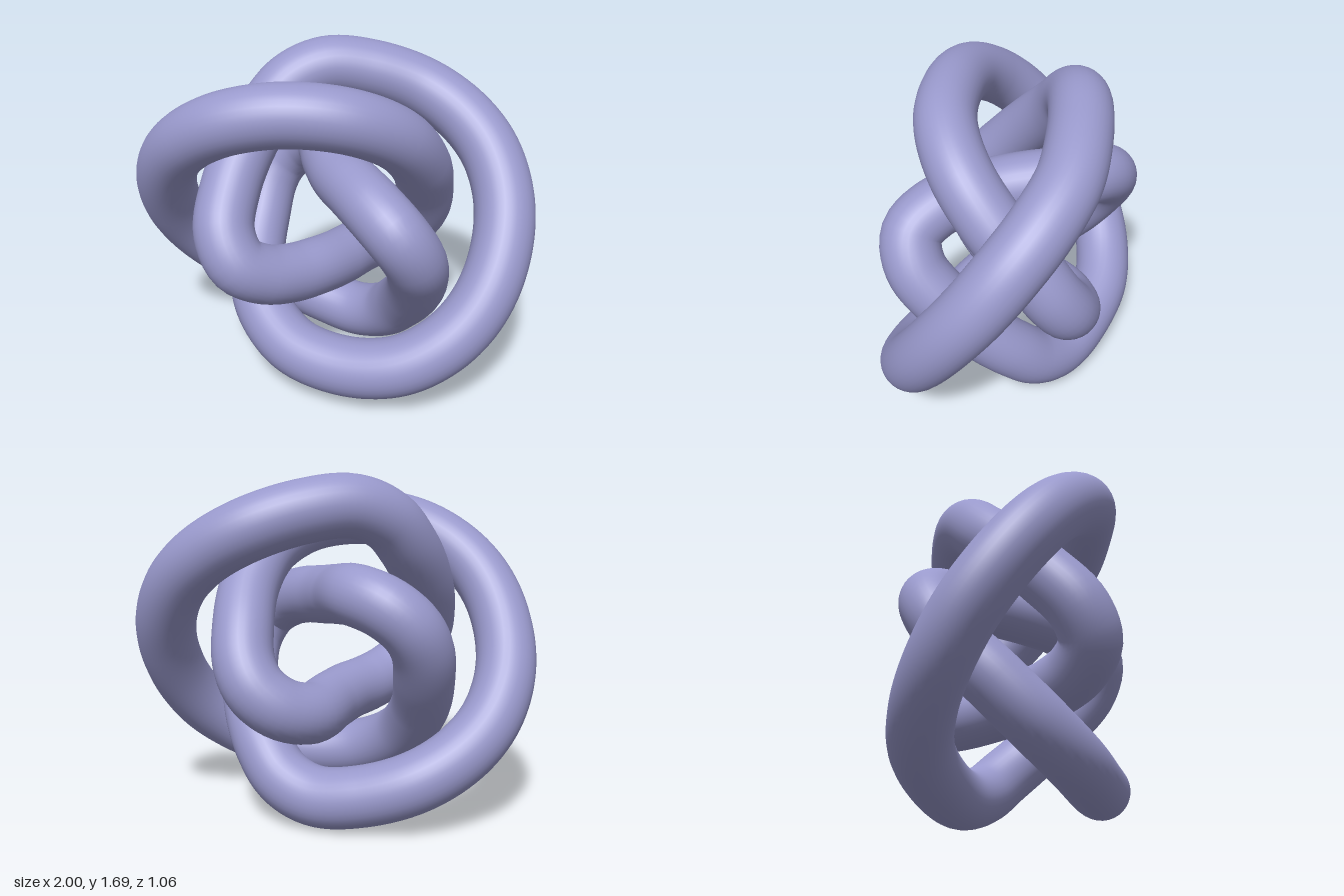
import * as THREE from 'three';

export function createModel() {
  const group = new THREE.Group();
  group.name = 'knotSculpture';

  const lavender = new THREE.MeshStandardMaterial({ color: 0x9999cc });
  lavender.name = 'lavender';

  // Half of the figure-eight centre line, measured from the middle of the knot
  const half = [
    // front outer arc
    [-0.851, 0, 0], [-0.815, 0.2, 0.14], [-0.725, 0.365, 0.25], [-0.585, 0.495, 0.335],
    [-0.4, 0.59, 0.38], [-0.14, 0.638, 0.362], [0.14, 0.604, 0.285], [0.335, 0.485, 0.135],
    // down the back and through the middle
    [0.422, 0.31, -0.045], [0.434, 0.12, -0.225], [0.415, -0.04, -0.335], [0.355, -0.15, -0.383],
    [0.24, -0.24, -0.375], [0.11, -0.283, -0.285], [0.02, -0.268, -0.08], [-0.06, -0.25, 0.07],
    [-0.16, -0.235, 0.2],
    // front inner turn
    [-0.27, -0.195, 0.315], [-0.38, -0.115, 0.381], [-0.457, 0.02, 0.335], [-0.465, 0.19, 0.19],
    [-0.425, 0.36, 0.03], [-0.35, 0.51, -0.11],
    // back outer arc
    [-0.25, 0.63, -0.205], [-0.09, 0.695, -0.285], [0.13, 0.672, -0.35], [0.38, 0.592, -0.38],
    [0.585, 0.482, -0.33], [0.735, 0.345, -0.24], [0.825, 0.175, -0.125],
  ];

  // The other half is the same, turned half a circle about z
  const points = [1, -1].flatMap((s) =>
    half.map(([x, y, z]) => new THREE.Vector3(s * x, s * y + 0.845, z)));
  const path = new THREE.CatmullRomCurve3(points, true, 'centripetal');

  // Endless round rope
  const rope = new THREE.Mesh(new THREE.TubeGeometry(path, 400, 0.148, 32, true), lavender);
  rope.name = 'knotRope';
  group.add(rope);
  return group;
}
